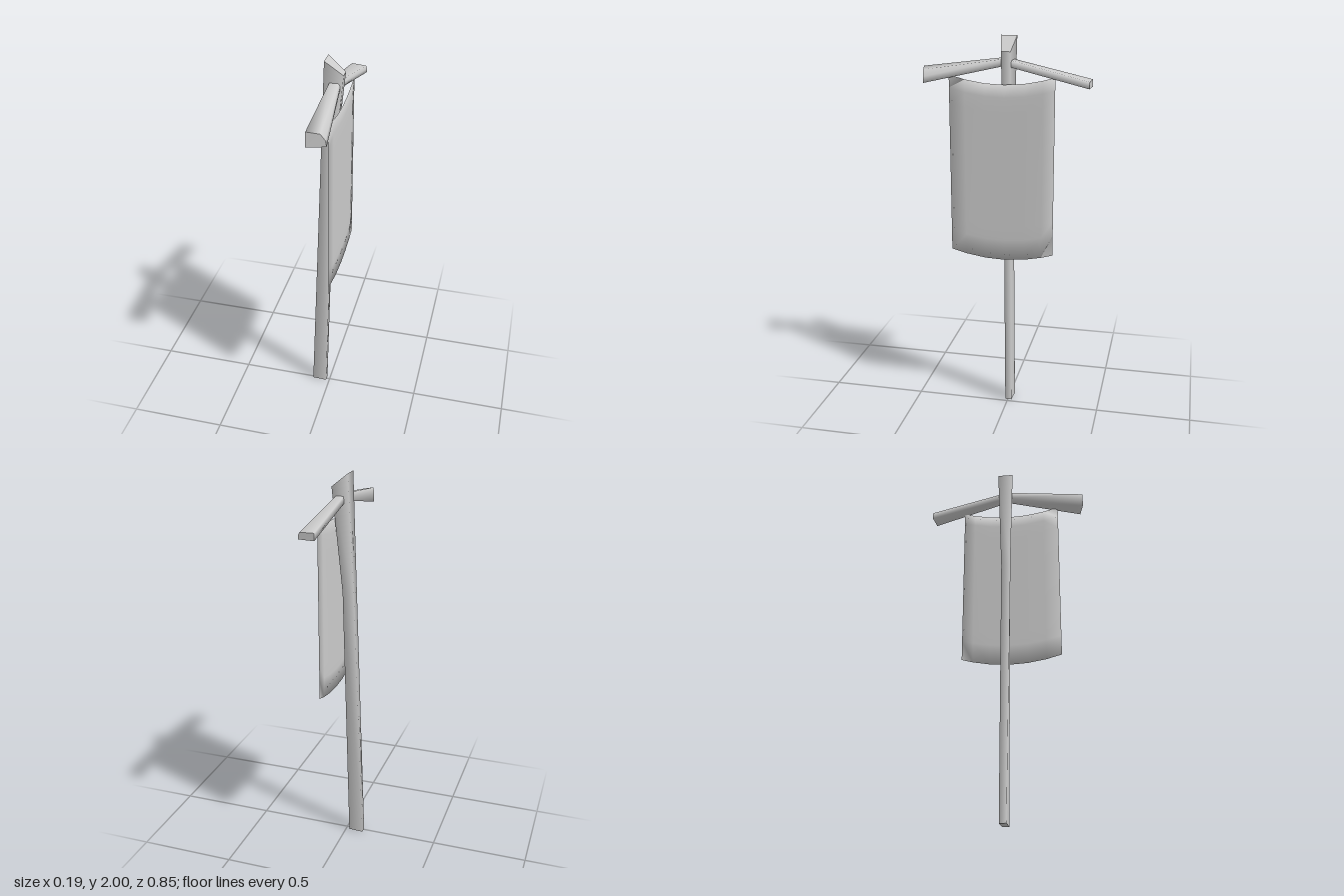
import * as THREE from 'three';

// Solid through matching cross-sections: smooth sides, sharp end caps
function loft(rings) {
  const n = rings[0].length, pos = rings.flat(2), idx = [];
  for (let r = 0; r < rings.length - 1; r++) {
    for (let i = 0; i < n; i++) {
      const a = r * n + i, b = r * n + (i + 1) % n;
      idx.push(a, b, a + n, b, b + n, a + n);
    }
  }
  const caps = [[...rings[0]].reverse(), rings[rings.length - 1]];
  for (const cap of caps) {
    const base = pos.length / 3;
    pos.push(...cap.flat());
    for (let i = 1; i < n - 1; i++) idx.push(base, base + i, base + i + 1);
  }
  return surface(pos, idx);
}

function surface(pos, idx) {
  const g = new THREE.BufferGeometry();
  g.setAttribute('position', new THREE.Float32BufferAttribute(pos, 3));
  g.setIndex(idx);
  g.computeVertexNormals();
  return g;
}

// Thin padded cloth: two sheets that share their rim
function bannerGeometry() {
  const zs = [0.28, 0.2, 0.1, 0, -0.1, -0.19, -0.25];
  const vs = [0, 0.12, 0.2, 0.5, 0.85, 0.93, 1];
  const cols = zs.length, rows = vs.length, pos = [], idx = [];
  const add = (x, y, z) => pos.push(x, y, z) / 3 - 1;
  const front = [], back = [];
  vs.forEach((v, j) => zs.forEach((z, i) => {
    const t = (z - 0.015) / 0.265;
    const sag = 0.042 * (1 - t * t);
    const y = 0.905 + 0.907 * v - sag;
    const rim = i === 0 || j === 0 || i === cols - 1 || j === rows - 1;
    front.push(add(rim ? 0.063 : 0.068, y, z));
    back.push(rim ? front[front.length - 1] : add(0.059, y, z));
  }));
  for (let j = 0; j < rows - 1; j++) {
    for (let i = 0; i < cols - 1; i++) {
      const a = j * cols + i, b = a + 1, c = a + cols, d = c + 1;
      idx.push(front[a], front[b], front[d], front[a], front[d], front[c]);
      idx.push(back[a], back[d], back[b], back[a], back[c], back[d]);
    }
  }
  return surface(pos, idx);
}

export function createModel() {
  const group = new THREE.Group();
  const grey = new THREE.MeshStandardMaterial({ color: 0xcccccc });
  grey.name = 'plainGrey';
  const part = (name, geometry) => {
    const mesh = new THREE.Mesh(geometry, grey);
    mesh.name = name;
    group.add(mesh);
  };

  // Leaning pole, flared and cut at a slant at the top
  part('pole', loft([
    [[-0.018, 0, 0.014], [-0.018, 0, -0.02], [-0.096, 0, -0.025], [-0.096, 0, 0.011]],
    [[0.018, 1.4, 0.015], [0.018, 1.4, -0.022], [-0.042, 1.4, -0.025], [-0.042, 1.4, 0.024]],
    [[0.07, 1.93, 0.016], [0.07, 1.93, -0.031], [-0.018, 2, -0.047], [-0.018, 2, 0.035]],
  ]));

  // Drooping arms, widening towards their tips
  const root = [[0.005, 1.86, 0], [0.052, 1.86, 0], [0.052, 1.88, 0], [0.045, 1.893, 0], [0.005, 1.897, 0]];
  part('frontArm', loft([
    root,
    [[-0.005, 1.766, 0.425], [0.087, 1.77, 0.405], [0.083, 1.8, 0.406], [0.06, 1.832, 0.411], [-0.002, 1.842, 0.425]],
  ]));
  part('backArm', loft([
    [[0.012, 1.767, -0.425], [0.092, 1.767, -0.417], [0.092, 1.785, -0.417], [0.085, 1.8, -0.418], [0.012, 1.803, -0.425]],
    root,
  ]));

  part('banner', bannerGeometry());
  return group;
}
